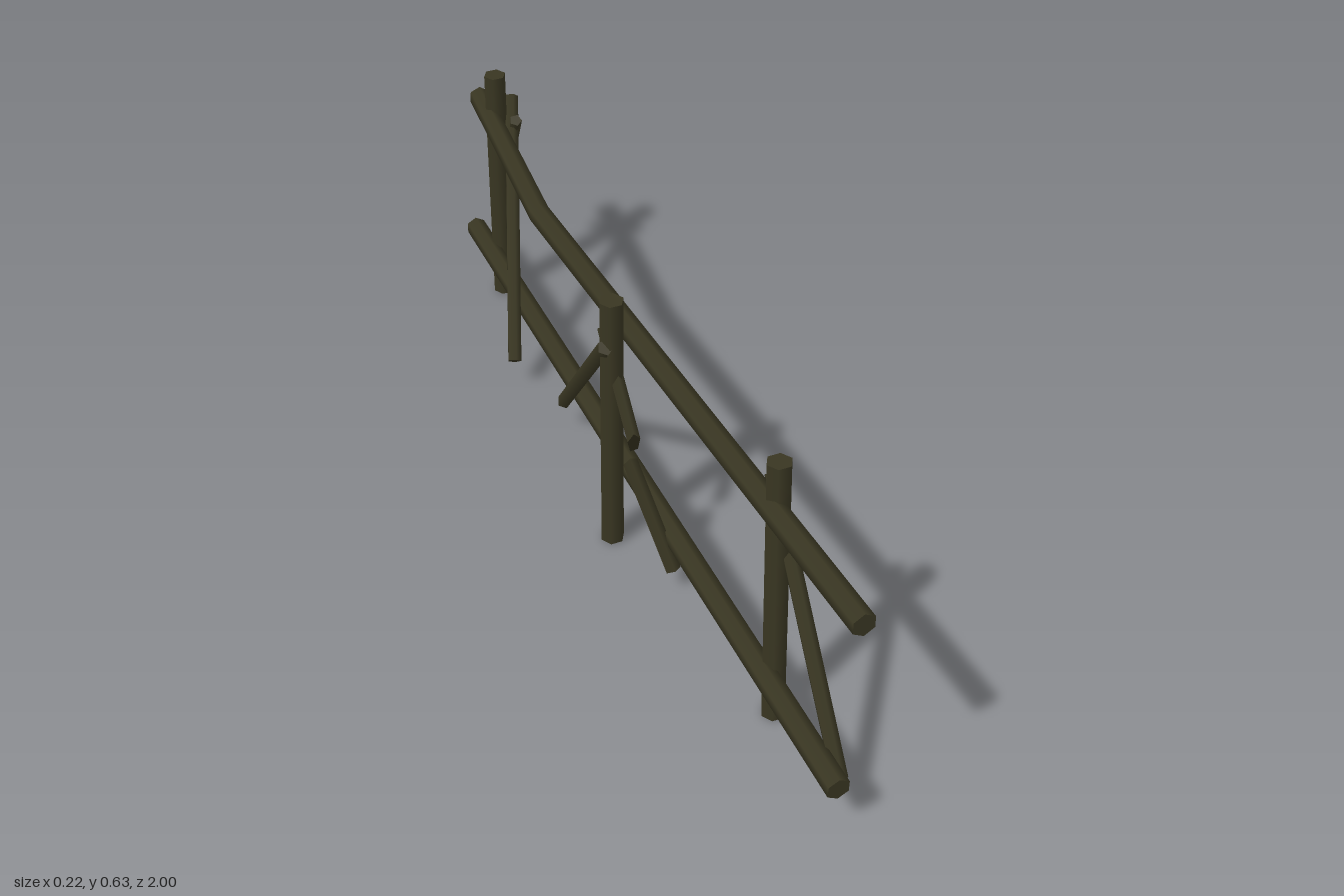
import * as THREE from 'three';

const wood = new THREE.MeshStandardMaterial({ color: 0x393622 });
wood.name = 'darkWood';

// A log that follows a list of points; startCut and endCut slant its two ends along the grain.
function log(name, points, radius, { sides = 6, endRadius = radius, spin = 0, startCut = 0, endCut = 0 } = {}) {
  const pts = points.map(p => new THREE.Vector3(...p));
  const last = pts.length - 1;
  const geo = new THREE.CylinderGeometry(endRadius, radius, 1, sides, last);
  geo.rotateY(spin);
  const up = new THREE.Vector3(0, 1, 0);
  const turns = pts.map((p, i) => {
    const dir = pts[Math.min(i + 1, last)].clone().sub(pts[Math.max(i - 1, 0)]).normalize();
    return new THREE.Quaternion().setFromUnitVectors(up, dir);
  });
  const pos = geo.attributes.position, nor = geo.attributes.normal;
  const v = new THREE.Vector3(), n = new THREE.Vector3();
  for (let k = 0; k < pos.count; k++) {
    v.fromBufferAttribute(pos, k);
    n.fromBufferAttribute(nor, k);
    const i = Math.round((v.y + 0.5) * last);
    v.y = (i === 0 ? startCut : i === last ? endCut : 0) * v.z / radius;
    v.applyQuaternion(turns[i]).add(pts[i]);
    n.applyQuaternion(turns[i]);
    pos.setXYZ(k, v.x, v.y, v.z);
    nor.setXYZ(k, n.x, n.y, n.z);
  }
  const mesh = new THREE.Mesh(geo, wood);
  mesh.name = name;
  return mesh;
}

export function createModel() {
  const fence = new THREE.Group();
  fence.name = 'brokenFence';

  // Upright posts
  fence.add(
    log('frontPost', [[0.022, 0, 0.69], [0.022, 0.614, 0.652]], 0.026, { spin: Math.PI / 6 }),
    log('middlePost', [[-0.07, 0, 0.093], [-0.07, 0.628, 0.093]], 0.026, { spin: Math.PI / 6 }),
    log('backPost', [[0.04, 0, -0.886], [0.04, 0.614, -0.886]], 0.026, { spin: Math.PI / 6 })
  );

  // Long rails, the upper one sagging
  fence.add(
    log('lowerRail', [[-0.006, 0.117, 1], [0.01, 0.128, -1]], 0.025),
    log('upperRail', [[0.012, 0.526, 1], [-0.011, 0.485, -0.47], [0.03, 0.511, -0.98]], 0.025)
  );

  // Slanting braces
  const thin = { sides: 5 };
  fence.add(
    log('frontBrace', [[0.025, 0.078, 0.95], [0.046, 0.525, 0.583]], 0.017, thin),
    log('middleBrace', [[-0.028, 0.08, -0.295], [-0.09, 0.528, 0.108]], 0.017, thin),
    log('backBrace', [[-0.08, 0.08, -0.485], [0.09, 0.53, -0.918]], 0.017, thin)
  );

  // Snapped brace in two pieces, and a short stub at the back
  fence.add(
    log('snappedBraceTop', [[-0.058, 0.325, 0.18], [-0.07, 0.532, 0.048]], 0.015, { sides: 5, startCut: 0.02 }),
    log('snappedBraceBottom', [[-0.016, 0.052, 0.29], [-0.068, 0.278, 0.184]], 0.017, { sides: 5, endCut: 0.015 }),
    log('backStub', [[0.095, 0.343, -0.963], [0.075, 0.503, -0.848]], 0.015, thin)
  );

  return fence;
}
